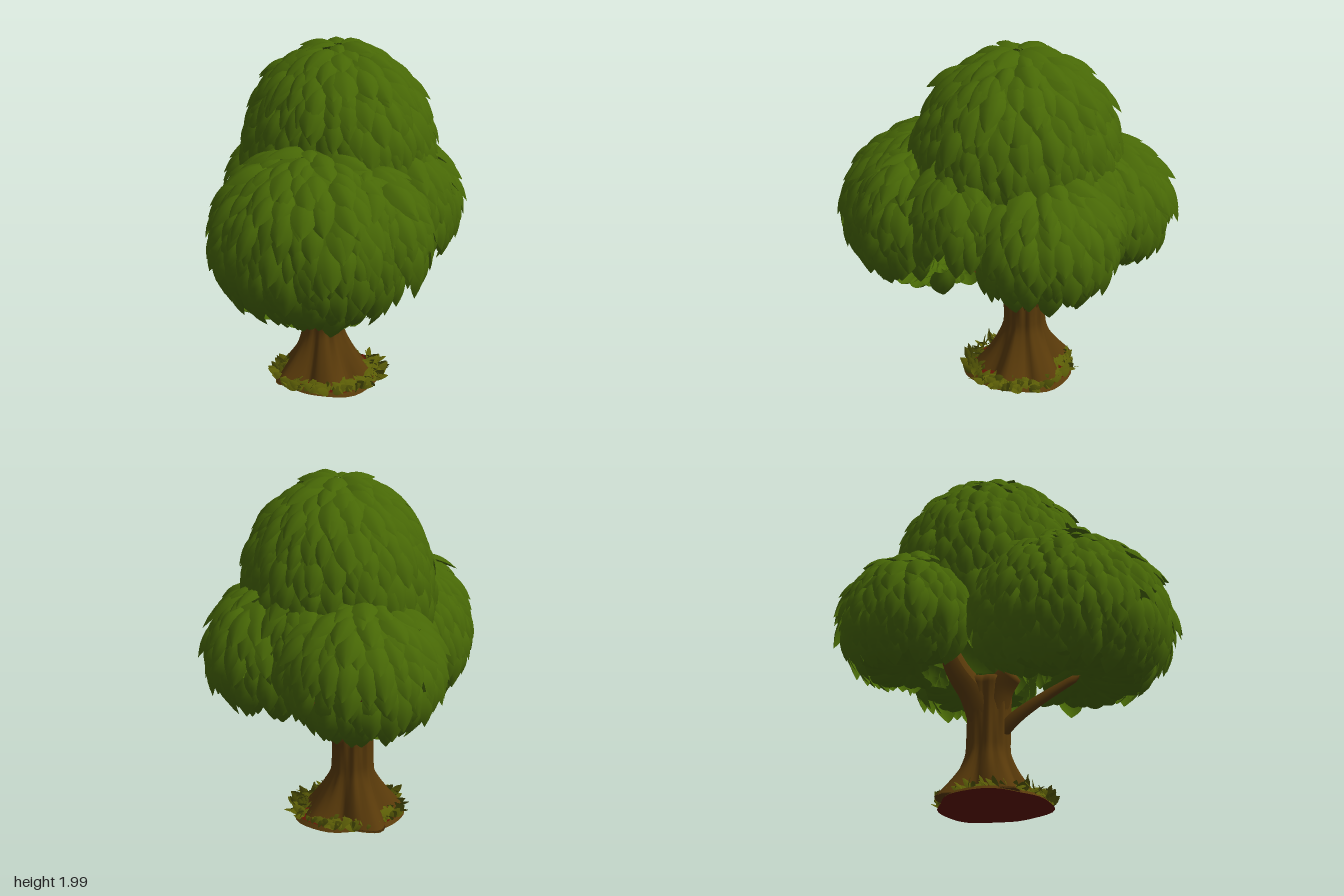
import * as THREE from 'three';
import { mergeGeometries, mergeVertices } from 'three/addons/utils/BufferGeometryUtils.js';

const V = (x, y, z) => new THREE.Vector3(x, y, z);

function seeded(seed) {
  return () => {
    seed = (seed * 1664525 + 1013904223) % 4294967296;
    return seed / 4294967296;
  };
}

// Foliage domes: centre, radii, polar angle of the rim, depth of the turned-in underside
const DOMES = [
  { name: 'topFoliage', c: V(0.01, 1.35, -0.09), r: V(0.54, 0.6, 0.48), end: 1.8, under: 0 },
  { name: 'frontFoliage', c: V(0.28, 0.98, 0.28), r: V(0.55, 0.5, 0.5), end: 2.2, under: 0.5 },
  { name: 'leftFoliage', c: V(0.53, 1.02, 0.1), r: V(0.3, 0.38, 0.29), end: 1.75, under: 0.4 },
  { name: 'rightFoliage', c: V(-0.46, 1.02, -0.16), r: V(0.38, 0.38, 0.39), end: 2.2, under: 0.5 },
  { name: 'backFoliage', c: V(0.05, 1.02, -0.46), r: V(0.37, 0.38, 0.34), end: 2.02, under: 0.55 },
  { name: 'leftFillFoliage', c: V(0.33, 1.08, -0.19), r: V(0.32, 0.4, 0.32), end: 1.55, under: 0.3 },
  { name: 'rightFillFoliage', c: V(-0.18, 1.08, -0.31), r: V(0.33, 0.4, 0.3), end: 1.55, under: 0.3 },
];

// True where a point is buried in another dome or in the hollow around the trunk
function hidden(p, own) {
  if (p.y < 1.05 && Math.hypot(p.x + 0.05, p.z + 0.07) < 0.32) return true;
  return DOMES.some((d) => d !== own && p.clone().sub(d.c).divide(d.r).length() < 0.86);
}

// A puffed leaf growing along +y with its face to +z
function leafGeometry(halfWidth, length, puff) {
  const widths = [0.55, 0.88, 1, 0.98, 0.82, 0.5, 0.05];
  const geo = new THREE.PlaneGeometry(1, 1, 4, 6);
  const pos = geo.attributes.position;
  for (let i = 0; i < pos.count; i++) {
    const u = pos.getX(i) * 2, t = pos.getY(i) + 0.5;
    const w = halfWidth * widths[Math.round(t * 6)];
    const z = puff * Math.cos(u * Math.PI / 2) * Math.sin(Math.PI * (0.15 + 0.85 * t));
    pos.setXYZ(i, u * w, t * length, z - 0.1 * length * t * t);
  }
  geo.computeVertexNormals();
  return geo;
}

// Copy of a leaf at a point, growing along T and facing roughly N
function placeLeaf(leaf, point, T, N, scale) {
  T.normalize();
  const S = T.clone().cross(N).normalize();
  const face = S.clone().cross(T);
  const m = new THREE.Matrix4().makeBasis(S, T, face);
  m.scale(V(scale, scale, scale)).setPosition(point);
  return leaf.clone().applyMatrix4(m);
}

// Thin shell under the upper leaves that closes the gaps between them
function skinGeometry(dome) {
  const skin = new THREE.SphereGeometry(1, 36, 20, 0, Math.PI * 2, 0, 1.4);
  skin.scale(dome.r.x * 0.95, dome.r.y * 0.96, dome.r.z * 0.95);
  skin.translate(dome.c.x, dome.c.y, dome.c.z);
  const idx = skin.index.array, keep = [];
  for (let i = 0; i < idx.length; i += 3) {
    const mid = V(0, 0, 0);
    for (let j = 0; j < 3; j++) {
      mid.add(V(0, 0, 0).fromBufferAttribute(skin.attributes.position, idx[i + j]));
    }
    if (!hidden(mid.divideScalar(3), dome)) keep.push(idx[i], idx[i + 1], idx[i + 2]);
  }
  skin.setIndex(keep);
  return skin;
}

// Overlapping rows of leaves down a dome, curling under past its rim
function domeGeometry(dome, rand) {
  const { c, r, end, under } = dome;
  const leaf = leafGeometry(0.062, 0.2, 0.03);
  const R = (r.x + r.y + r.z) / 3, gap = 0.08;
  const spread = (phi) => phi > end ? Math.sin(end) - (phi - end) * 0.8 : Math.sin(phi);
  const height = (phi) => r.y * Math.cos(phi) * (phi > Math.PI / 2 ? 0.75 : 1);
  const surface = (phi, th) => {
    const s = spread(phi);
    const y = phi > end ? height(end) - 0.1 + (phi - end) * 0.12 : height(phi);
    return V(r.x * s * Math.cos(th), y, r.z * s * Math.sin(th));
  };
  const parts = [skinGeometry(dome)];
  const last = end + under, rows = Math.ceil(last * R / gap);
  for (let k = 0; k <= rows; k++) {
    const phi0 = 0.05 + (last - 0.05) * k / rows;
    const count = Math.max(7, Math.round(2 * Math.PI * R * spread(phi0) / gap));
    for (let j = 0; j < count; j++) {
      const th = (j + (k % 2) * 0.5 + (rand() - 0.5) * 0.6) / count * Math.PI * 2;
      const phi = Math.max(0.04, phi0 + (k ? (rand() - 0.5) * 0.1 : 0));
      const p = surface(phi, th);
      const T = surface(phi + 0.02, th).sub(p).normalize();
      const N = p.clone().divide(r).divide(r).normalize();
      if (phi > end) {
        T.copy(V(-Math.cos(th), 0.15, -Math.sin(th)));
        N.set(0, -1, 0);
      } else if (phi > 1.5) {
        T.y -= 0.3;
      }
      // lift of the tip and sideways roll
      T.addScaledVector(N, phi < 0.5 ? 0.04 + rand() * 0.12 : 0.1 + rand() * 0.18);
      N.addScaledVector(T.clone().cross(N), (rand() - 0.5) * 0.5);
      const at = p.add(c), scale = 0.75 + rand() * 0.42;
      if (!hidden(at, dome)) parts.push(placeLeaf(leaf, at, T, N, scale));
    }
  }
  return mergeGeometries(parts);
}

// Trunk with root lobes at the foot and shallow bark ridges
function trunkGeometry() {
  const roots = [3.1, 1.65, 0.4, -0.7, -1.65];
  let geo = new THREE.CylinderGeometry(1, 1, 1, 64, 24);
  geo.deleteAttribute('uv');
  geo.deleteAttribute('normal');
  const pos = geo.attributes.position;
  for (let i = 0; i < pos.count; i++) {
    const x = pos.getX(i), z = pos.getZ(i), h = pos.getY(i) + 0.5;
    const y = 0.005 + 0.695 * Math.pow(h, 1.3), th = Math.atan2(z, x);
    const flare = Math.pow(Math.max(0, 1 - y / 0.3), 1.4);
    let lobe = 0;
    for (const a of roots) lobe = Math.max(lobe, Math.pow(Math.max(0, Math.cos(th - a)), 6));
    const ridge = 0.006 * Math.sin(9 * th + 5 * y) + 0.003 * Math.sin(17 * th - 4 * y);
    const rad = 0.103 + 0.025 * (1 - h) + 0.03 * Math.pow(h, 6) + flare * (0.03 + 0.16 * lobe) + ridge;
    pos.setXYZ(i, -0.06 + x * rad, y, -0.04 + z * rad);
  }
  geo = mergeVertices(geo);
  geo.computeVertexNormals();
  return geo;
}

// Tube that narrows from r0 to r1 and closes at its end
function branchGeometry(points, r0, r1) {
  const curve = new THREE.CatmullRomCurve3(points.map((p) => V(...p)));
  const seg = 14, radial = 12;
  const geo = new THREE.TubeGeometry(curve, seg, 1, radial);
  const pos = geo.attributes.position;
  for (let i = 0; i <= seg; i++) {
    const mid = curve.getPointAt(i / seg);
    const rad = i === seg ? 0.001 : r0 + (r1 - r0) * i / seg;
    for (let j = 0; j <= radial; j++) {
      const k = i * (radial + 1) + j;
      const p = V(0, 0, 0).fromBufferAttribute(pos, k).sub(mid).multiplyScalar(rad).add(mid);
      pos.setXYZ(k, p.x, p.y, p.z);
    }
  }
  geo.computeVertexNormals();
  return geo;
}

export function createModel() {
  const rand = seeded(7);
  const material = (name, color, side = THREE.FrontSide) => {
    const m = new THREE.MeshStandardMaterial({ color, side });
    m.name = name;
    return m;
  };
  const leafGreen = material('leafGreen', 0x476706, THREE.DoubleSide);
  const bark = material('barkBrown', 0x593a0a);
  const grassOlive = material('grassOlive', 0x5a5c06, THREE.DoubleSide);
  const soilRed = material('soilRedBrown', 0x601505);

  const tree = new THREE.Group();
  tree.name = 'tree';
  const add = (name, geo, mat) => {
    const mesh = new THREE.Mesh(geo, mat);
    mesh.name = name;
    tree.add(mesh);
  };

  for (const dome of DOMES) add(dome.name, domeGeometry(dome, rand), leafGreen);

  // Trunk and branches
  add('trunk', trunkGeometry(), bark);
  add('rightBranch', branchGeometry(
    [[-0.08, 0.48, -0.04], [-0.15, 0.62, -0.04], [-0.24, 0.74, -0.05], [-0.32, 0.9, -0.06]], 0.095, 0.05), bark);
  add('backBranch', branchGeometry(
    [[-0.06, 0.46, -0.06], [-0.05, 0.6, -0.14], [-0.03, 0.69, -0.26], [-0.01, 0.78, -0.4]], 0.1, 0.045), bark);
  add('frontStub', branchGeometry(
    [[-0.06, 0.5, -0.03], [-0.03, 0.64, 0.03], [0.02, 0.74, 0.1]], 0.095, 0.065), bark);
  add('leftBranch', branchGeometry(
    [[-0.04, 0.36, -0.01], [0.04, 0.47, 0.07], [0.16, 0.575, 0.15], [0.36, 0.72, 0.25]], 0.043, 0.02), bark);

  // Uneven patch of red soil with a brown edge
  const soil = new THREE.CylinderGeometry(0.29, 0.31, 0.02, 40);
  const pos = soil.attributes.position;
  for (let i = 0; i < pos.count; i++) {
    const x = pos.getX(i), z = pos.getZ(i), th = Math.atan2(z, x);
    const k = 1 + 0.06 * Math.cos(3 * (th - 2.36)) + 0.02 * Math.sin(7 * th);
    pos.setXYZ(i, x * k - 0.025, pos.getY(i) + 0.01, z * k - 0.05);
  }
  add('soil', soil, [bark, soilRed, soilRed]);

  // Ring of short grass blades
  const blade = leafGeometry(0.022, 0.08, 0.004);
  const blades = [];
  for (let i = 0; i < 260; i++) {
    const a = i * 2.39996, d = 0.2 + 0.1 * Math.sqrt(rand());
    const lean = rand() * Math.PI * 2, rise = 0.3 + rand() * 0.6;
    const T = V(Math.cos(lean) * 0.9, rise, Math.sin(lean) * 0.9);
    const N = V(Math.cos(a), 0.9, Math.sin(a));
    const at = V(-0.02 + d * Math.cos(a), 0.015, -0.05 + d * Math.sin(a));
    blades.push(placeLeaf(blade, at, T, N, 0.7 + rand() * 0.5));
  }
  add('grass', mergeGeometries(blades), grassOlive);

  return tree;
}
